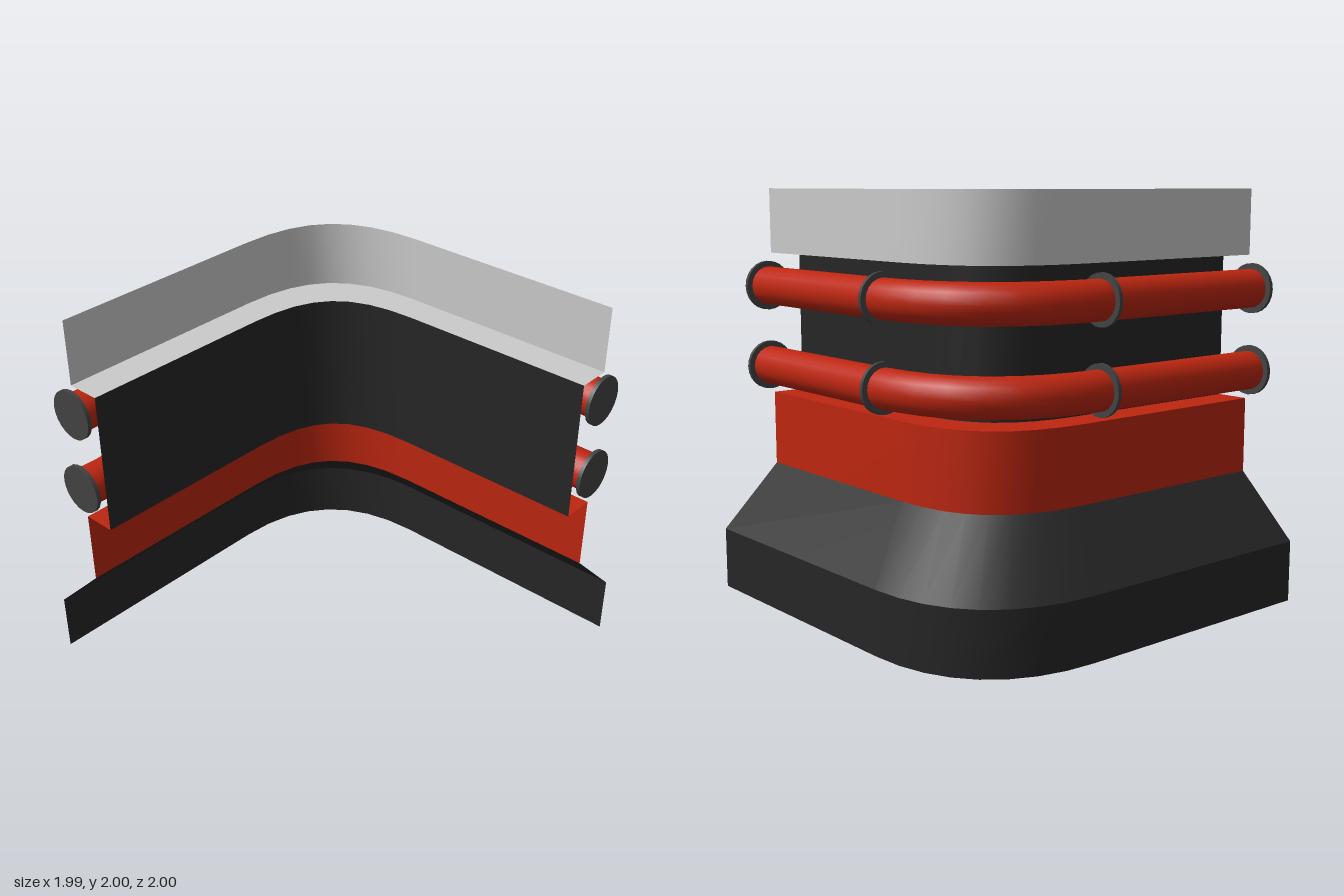
import * as THREE from 'three';

const END = 0.99;
const material = (color) => new THREE.MeshStandardMaterial({ color, side: THREE.DoubleSide });

// Plan curve of the L-shaped corner at a given distance from the centre
function planPoints(a) {
  const t = (a - 0.53) / 0.47;
  const e = 0.33 * t, h = 0.38 + 0.385 * t;
  const bend = new THREE.CubicBezierCurve(
    new THREE.Vector2(-a, -e), new THREE.Vector2(-a, -h),
    new THREE.Vector2(-h, -a), new THREE.Vector2(-e, -a));
  return [new THREE.Vector2(-a, END), ...bend.getPoints(8), new THREE.Vector2(END, -a)];
}

// Open strip between two [distance, height] profile points, swept along the plan
function strip([a0, y0], [a1, y1]) {
  const low = planPoints(a0), high = planPoints(a1);
  const positions = [], index = [];
  low.forEach((p, i) => {
    positions.push(p.x, y0, p.y, high[i].x, y1, high[i].y);
    if (i < low.length - 1) {
      const k = 2 * i;
      index.push(k, k + 1, k + 2, k + 1, k + 3, k + 2);
    }
  });
  const g = new THREE.BufferGeometry();
  g.setAttribute('position', new THREE.Float32BufferAttribute(positions, 3));
  g.setIndex(index);
  g.computeVertexNormals();
  return g;
}

export function createModel() {
  const model = new THREE.Group();
  const grey = material(0xcccccc), red = material(0xbd2610);
  const black = material(0x262626), dark = material(0x434343);

  const add = (parent, name, geometry, mat) => {
    const mesh = new THREE.Mesh(geometry, mat);
    mesh.name = name;
    parent.add(mesh);
    return mesh;
  };

  // Wall profile from the floor to the top edge
  const bands = [
    ['plinth', [1, 0], [1, 0.3], black],
    ['plinthSlope', [1, 0.3], [0.695, 0.6], black],
    ['lowerBand', [0.695, 0.6], [0.695, 0.97], red],
    ['lowerLedge', [0.695, 0.97], [0.53, 0.97], red],
    ['recessedWall', [0.53, 0.97], [0.53, 1.68], black],
    ['upperSoffit', [0.53, 1.68], [0.695, 1.68], grey],
    ['upperBand', [0.695, 1.68], [0.695, 2], grey],
  ];
  for (const [name, from, to, mat] of bands) add(model, name, strip(from, to), mat);

  // Two pipes around the corner, with collars at the joints and caps at the ends
  for (const [name, y] of [['lowerPipe', 1.115], ['upperPipe', 1.518]]) {
    const pipe = new THREE.Group();
    pipe.name = name;
    model.add(pipe);
    const v = (x, z) => new THREE.Vector3(x, y, z);
    const start = v(-0.718, 0.985), jointA = v(-0.715, -0.035);
    const jointB = v(-0.035, -0.735), end = v(0.98, -0.722);
    const bend = new THREE.CubicBezierCurve3(jointA, v(-0.715, -0.51), v(-0.51, -0.735), jointB);

    add(pipe, 'sidePipe', new THREE.TubeGeometry(new THREE.LineCurve3(start, jointA), 1, 0.095, 20), red);
    add(pipe, 'pipeBend', new THREE.TubeGeometry(bend, 8, 0.095, 20), red);
    add(pipe, 'backPipe', new THREE.TubeGeometry(new THREE.LineCurve3(jointB, end), 1, 0.095, 20), red);

    for (const [label, p, alongX] of [
      ['sideCap', start, false], ['sideCollar', jointA, false],
      ['backCollar', jointB, true], ['backCap', end, true],
    ]) {
      const disc = add(pipe, label, new THREE.CylinderGeometry(0.122, 0.122, 0.02, 24), dark);
      disc.position.copy(p);
      if (alongX) disc.rotation.z = Math.PI / 2;
      else disc.rotation.x = Math.PI / 2;
    }
  }
  return model;
}
